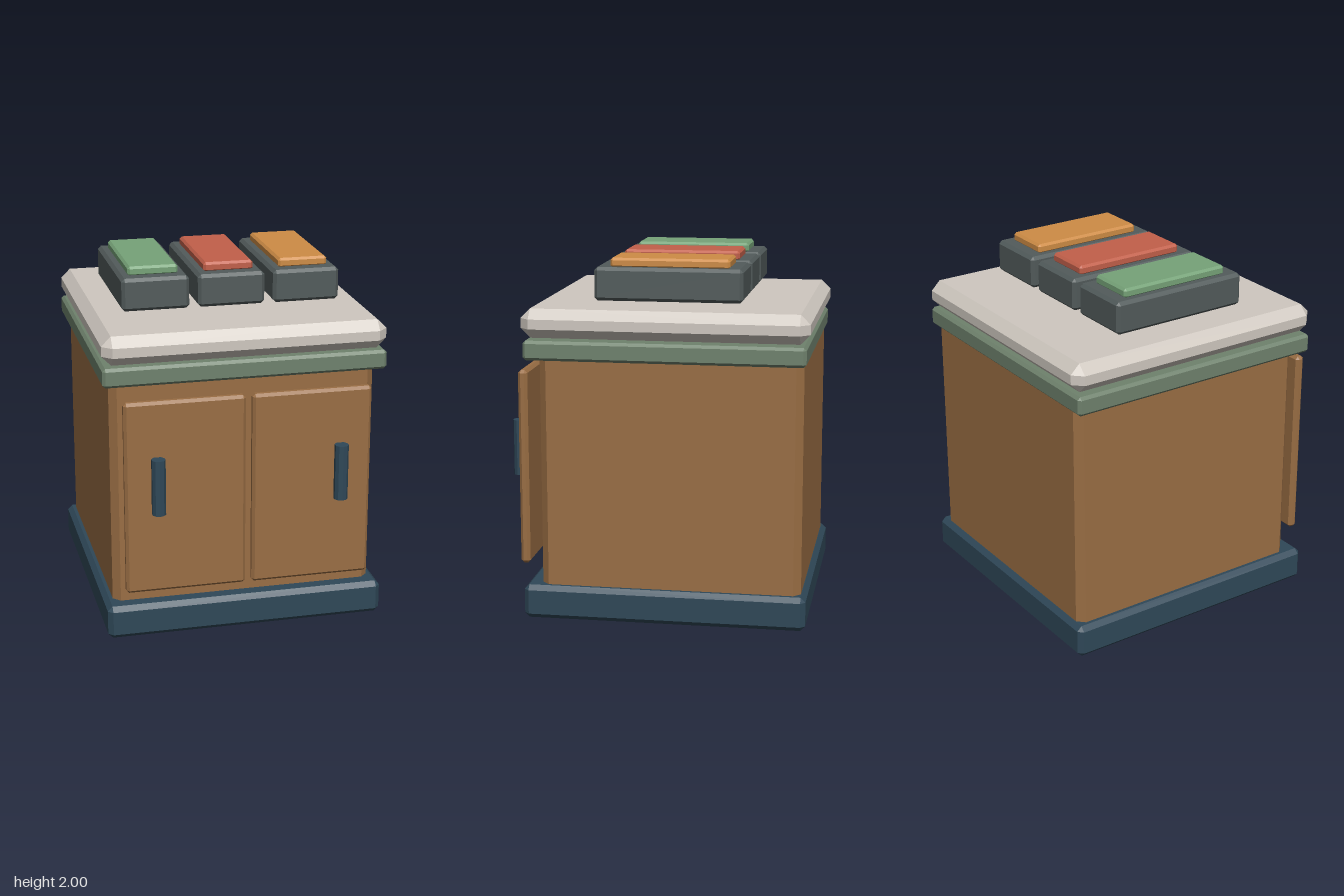
import * as THREE from 'three';
import { ConvexGeometry } from 'three/addons/geometries/ConvexGeometry.js';

const paint = (name, color) => {
  const m = new THREE.MeshStandardMaterial({ color });
  m.name = name;
  return m;
};

// Box with flat bevels: each corner becomes three points, one per face
function bevelBox(w, h, d, bevel) {
  const points = [];
  const half = [w / 2, h / 2, d / 2];
  for (const sx of [-1, 1]) for (const sy of [-1, 1]) for (const sz of [-1, 1]) {
    const s = [sx, sy, sz];
    for (let axis = 0; axis < 3; axis++) {
      points.push(new THREE.Vector3(...half.map((v, i) => s[i] * (i === axis ? v : v - bevel))));
    }
  }
  return new ConvexGeometry(points);
}

export function createModel() {
  const model = new THREE.Group();
  model.name = 'cabinet';
  const wood = paint('wood', 0x9a6e44);
  const navy = paint('navy', 0x2f4858);
  const sage = paint('sage', 0x6f826d);
  const stone = paint('stone', 0xcfc8c0);
  const slate = paint('slate', 0x525b5b);
  const green = paint('green', 0x76a378);
  const red = paint('red', 0xc2604a);
  const orange = paint('orange', 0xce8c45);

  // Adds a bevelled box spanning the given x, y and z ranges
  const block = (name, [x0, x1], [y0, y1], [z0, z1], bevel, material) => {
    const mesh = new THREE.Mesh(bevelBox(x1 - x0, y1 - y0, z1 - z0, bevel), material);
    mesh.position.set((x0 + x1) / 2, (y0 + y1) / 2, (z0 + z1) / 2);
    mesh.name = name;
    model.add(mesh);
  };

  // Carcass, from the floor up
  block('plinth', [-0.786, 0.786], [0, 0.19], [-0.838, 0.73], 0.027, navy);
  block('body', [-0.74, 0.74], [0.11, 1.54], [-0.808, 0.637], 0.04, wood);
  block('trim', [-0.786, 0.786], [1.46, 1.568], [-0.824, 0.714], 0.016, sage);
  block('worktop', [-0.786, 0.786], [1.578, 1.738], [-0.84, 0.732], 0.053, stone);

  // Two doors with upright bar handles
  for (const side of [-1, 1]) {
    const edges = [side * 0.018, side * 0.688].sort((a, b) => a - b);
    block(side < 0 ? 'rightDoor' : 'leftDoor', edges, [0.288, 1.387], [0.715, 0.768], 0.016, wood);

    const geometry = new THREE.CylinderGeometry(0.039, 0.039, 0.315, 10).toNonIndexed();
    geometry.computeVertexNormals();
    const handle = new THREE.Mesh(geometry, navy);
    handle.position.set(side * 0.51, 0.918, 0.802);
    handle.name = side < 0 ? 'rightHandle' : 'leftHandle';
    model.add(handle);
  }

  // Three trays with coloured pads on top
  [green, red, orange].forEach((material, i) => {
    const x = (i - 1) * 0.424;
    block('tray', [x - 0.188, x + 0.188], [1.77, 1.953], [-0.464, 0.351], 0.018, slate);
    block(`${material.name}Pad`, [x - 0.14, x + 0.14], [1.945, 2], [-0.387, 0.27], 0.013, material);
  });

  return model;
}
